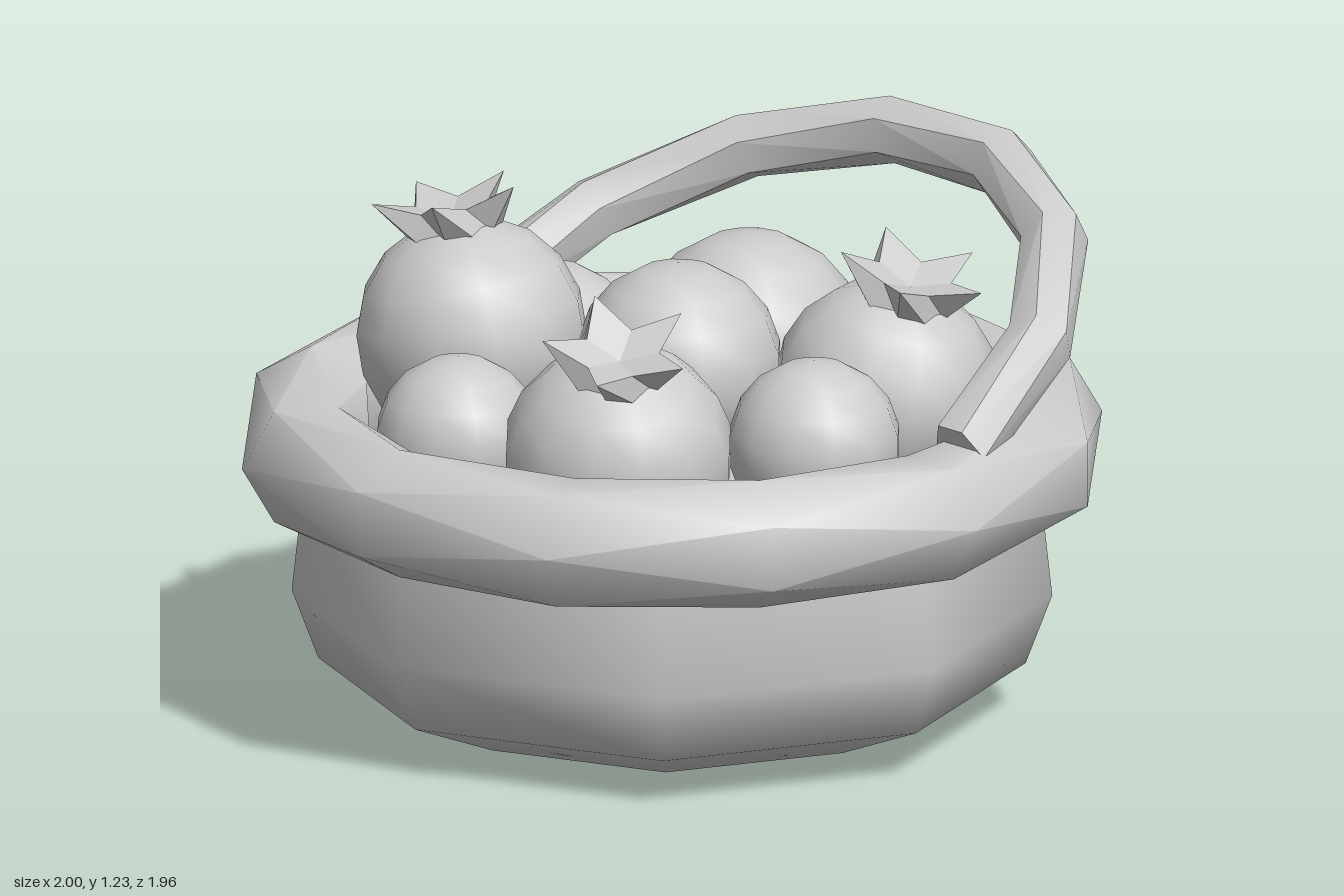
import * as THREE from 'three';
import { toCreasedNormals } from 'three/addons/utils/BufferGeometryUtils.js';

const material = new THREE.MeshStandardMaterial({ color: 0xcccccc });
const V = (x, y, z) => new THREE.Vector3(x, y, z);

function mesh(name, geometry, parent) {
  const m = new THREE.Mesh(geometry, material);
  m.name = name;
  parent.add(m);
  return m;
}

function creased(positions, index, angle) {
  const g = new THREE.BufferGeometry();
  g.setAttribute('position', new THREE.Float32BufferAttribute(positions, 3));
  g.setIndex(index);
  return toCreasedNormals(g.toNonIndexed(), angle);
}

// Six-sided rod swept along an elliptical arc, its section turning as it goes
function twistedRod({ center, e1, e2, a, b, arc, segments, radius, twist, capped }) {
  const sides = 6, pos = [], index = [];
  const normal = e2.clone().cross(e1);
  for (let i = 0; i <= segments; i++) {
    const t = (arc * i) / segments;
    const out = e1.clone().multiplyScalar(Math.cos(t)).addScaledVector(e2, Math.sin(t));
    const mid = center.clone().addScaledVector(e1, a * Math.cos(t)).addScaledVector(e2, b * Math.sin(t));
    for (let j = 0; j < sides; j++) {
      const phi = (j * 2 * Math.PI) / sides + twist * i;
      const p = mid.clone()
        .addScaledVector(out, radius * Math.cos(phi))
        .addScaledVector(normal, radius * Math.sin(phi));
      pos.push(p.x, p.y, p.z);
    }
  }
  for (let i = 0; i < segments; i++) {
    for (let j = 0; j < sides; j++) {
      const k = (j + 1) % sides;
      const p = i * sides + j, q = i * sides + k;
      index.push(p, q, q + sides, p, q + sides, p + sides);
    }
  }
  if (capped) {
    const end = segments * sides;
    for (let j = 1; j < sides - 1; j++) {
      index.push(0, j + 1, j, end, end + j, end + j + 1);
    }
  }
  return creased(pos, index, 0.75);
}

// Five-pointed flared cup that sits on a fruit
function crownGeometry() {
  const pos = [], index = [], n = 10;
  for (let i = 0; i < n; i++) {
    const t = (i * 2 * Math.PI) / n, tip = i % 2 === 0;
    const c = Math.cos(t), s = Math.sin(t);
    const base = tip ? 0.1 : 0.11, top = tip ? 0.175 : 0.09;
    pos.push(base * c, -0.01, base * s, top * c, tip ? 0.09 : 0.055, top * s);
  }
  pos.push(0, 0.03, 0);
  for (let i = 0; i < n; i++) {
    const p = 2 * i, q = 2 * ((i + 1) % n);
    index.push(p, p + 1, q + 1, p, q + 1, q, p + 1, 2 * n, q + 1);
  }
  return creased(pos, index, 0.1);
}

export function createModel() {
  const model = new THREE.Group();
  model.name = 'fruitBasket';

  // Eight-sided bowl with soft shading
  const profile = [[0, 0], [0.56, 0.012], [0.8, 0.11], [0.86, 0.27], [0.835, 0.5], [0.82, 0.62]]
    .map(([r, y]) => new THREE.Vector2(r, y));
  mesh('basketBody', new THREE.LatheGeometry(profile, 8), model);

  // Filling level under the fruit
  const floor = mesh('basketFilling', new THREE.CircleGeometry(0.82, 12), model);
  floor.rotation.x = -Math.PI / 2;
  floor.position.y = 0.55;

  // Rope-like rim
  mesh('basketRim', twistedRod({
    center: V(0, 0.63, 0), e1: V(1, 0, 0), e2: V(0, 0, 1), a: 0.85, b: 0.85,
    arc: 2 * Math.PI, segments: 12, radius: 0.15, twist: -Math.PI / 6, capped: false,
  }), model);

  // Handle leaning backwards
  mesh('handle', twistedRod({
    center: V(0, 0.75, -0.13), e1: V(1, 0, 0), e2: V(0, 0.48, -0.877).normalize(), a: 0.81, b: 0.85,
    arc: Math.PI, segments: 7, radius: 0.078, twist: -Math.PI / 12, capped: true,
  }), model);

  // Fruit: x, y, z, radius, then the lean of the crown in x and z and its spin
  const fruits = [
    [-0.21, 0.72, -0.44, 0.265],
    [-0.5, 0.72, -0.1, 0.2],
    [0.015, 0.81, -0.005, 0.24],
    [0.52, 0.74, 0.05, 0.2],
    [-0.155, 0.71, 0.52, 0.19],
    [0.29, 0.73, -0.39, 0.26, 0.27, -0.05, 0.3],
    [-0.395, 0.85, 0.25, 0.267, -0.18, 0.06, 0.3],
    [0.255, 0.73, 0.41, 0.265, 0.29, 0.26, 0.2],
  ];
  const crown = crownGeometry();
  for (const [x, y, z, r, leanX, leanZ, spin] of fruits) {
    const fruit = new THREE.Group();
    fruit.name = spin === undefined ? 'berry' : 'crownedFruit';
    fruit.position.set(x, y, z);
    mesh('fruitBody', new THREE.SphereGeometry(r, 12, 9), fruit);
    if (spin !== undefined) {
      fruit.quaternion.setFromUnitVectors(V(0, 1, 0), V(leanX, 1, leanZ).normalize());
      const top = mesh('fruitCrown', crown, fruit);
      top.position.y = r - 0.025;
      top.rotation.y = spin;
    }
    model.add(fruit);
  }
  return model;
}
